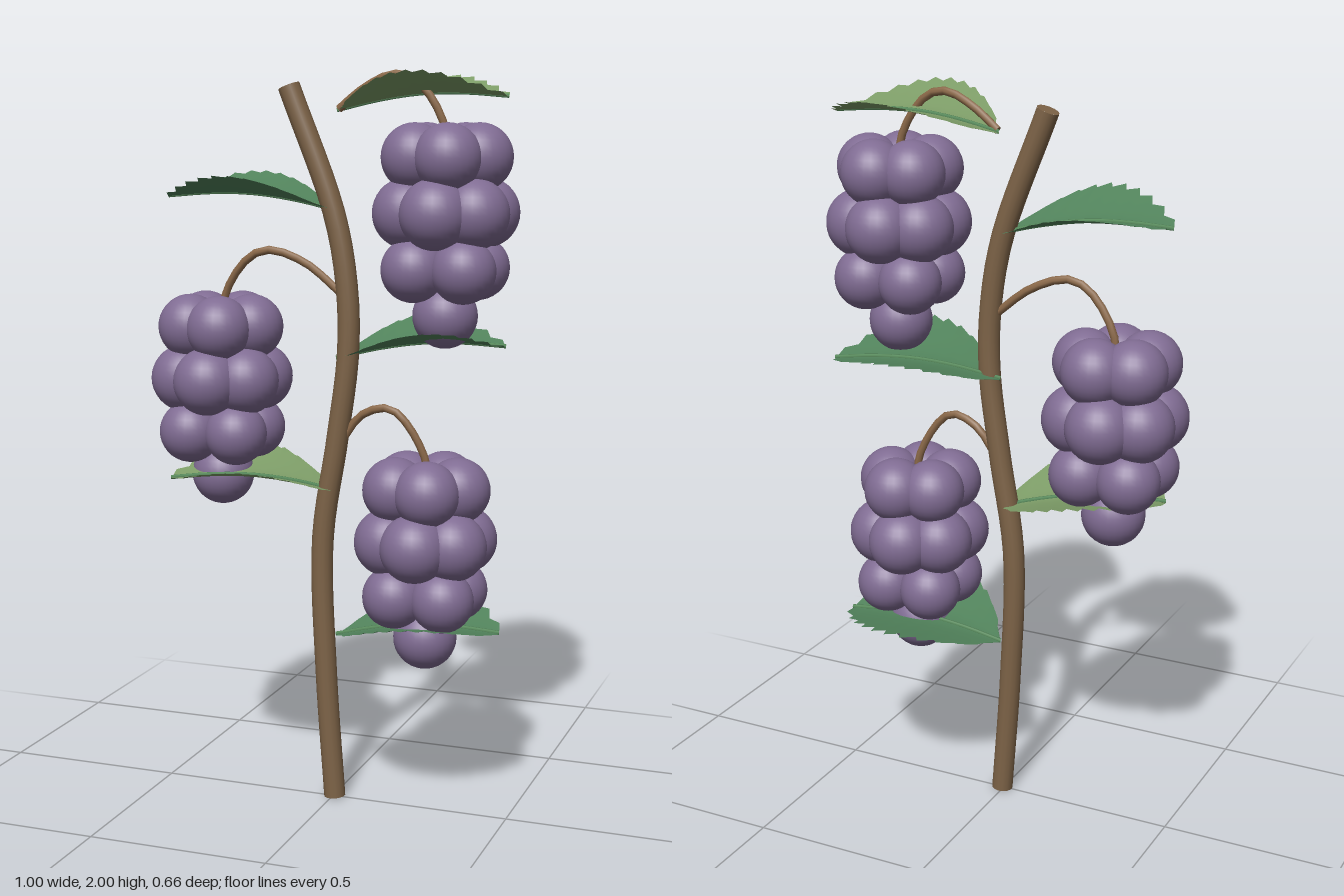
import * as THREE from 'three';

const mat = (name, color, side = THREE.FrontSide) => {
  const m = new THREE.MeshStandardMaterial({ color, side });
  m.name = name;
  return m;
};

const V = (x, y, z = 0) => new THREE.Vector3(x, y, z);

function part(name, geometry, material) {
  const m = new THREE.Mesh(geometry, material);
  m.name = name;
  return m;
}

// Tube along points, closed by flat discs at both ends
function branch(name, points, radius, segments, sides, material) {
  const g = new THREE.Group();
  g.name = name;
  const curve = new THREE.CatmullRomCurve3(points);
  g.add(part(name + 'Tube', new THREE.TubeGeometry(curve, segments, radius, sides), material));
  for (const t of [0, 1]) {
    const cap = part(name + 'Cap', new THREE.CircleGeometry(radius, sides), material);
    const dir = curve.getTangent(t).multiplyScalar(t ? 1 : -1);
    cap.position.copy(curve.getPoint(t));
    cap.quaternion.setFromUnitVectors(V(0, 0, 1), dir);
    g.add(cap);
  }
  return g;
}

// Leaf mid-line: rises from the base, arches and dips toward the tip
const LENGTH = 0.455;
const midY = t => 0.035 * t + 0.025 * Math.sin(Math.PI * t);

// Serrated blade lying along +x, its sides lifted
function bladeGeometry() {
  const rows = 22, half = 4, cols = half * 2 + 1;
  const pos = [], index = [];
  for (let i = 0; i <= rows; i++) {
    const t = i / rows;
    const tooth = i % 2 === 1;
    const w = 0.247 * Math.pow(Math.max(Math.sin(Math.PI * t), 0), 0.75) * (tooth ? 1.07 : 0.93);
    for (let j = -half; j <= half; j++) {
      const s = j / half, a = Math.abs(s);
      const ripple = (tooth ? 0.003 : -0.003) * a;
      const lift = 0.052 * Math.pow(a, 1.3) * Math.sin(Math.PI * t);
      const forward = tooth ? 0.012 * a * a * a : 0;
      pos.push(LENGTH * t + forward, midY(t) + lift + ripple, w * s);
      if (i < rows && j < half) {
        const p = i * cols + j + half;
        index.push(p, p + 1, p + cols, p + 1, p + cols + 1, p + cols);
      }
    }
  }
  const g = new THREE.BufferGeometry();
  g.setAttribute('position', new THREE.Float32BufferAttribute(pos, 3));
  g.setIndex(index);
  g.computeVertexNormals();
  return g;
}

export function createModel() {
  const stemMat = mat('stem brown', 0x7d6347);
  const stalkMat = mat('stalk brown', 0x8a6848);
  const berryMat = mat('berry purple', 0x806c93);
  const greenMat = mat('leaf green', 0x53855d, THREE.DoubleSide);
  const lightMat = mat('young leaf green', 0x7f9f69, THREE.DoubleSide);
  const ribMat = mat('rib green', 0x578a5b);

  const model = new THREE.Group();
  model.name = 'berryBranch';

  // Main stem
  model.add(branch('stem', [
    V(0.005, 0.005), V(-0.02, 0.36), V(-0.03, 0.74), V(0.012, 1.02),
    V(0.042, 1.25), V(0.04, 1.42), V(0.005, 1.62), V(-0.125, 1.96),
  ], 0.03, 40, 14, stemMat));

  // Leaves: base position, turn about y, colour
  const blade = bladeGeometry();
  const ribPoints = [0, 0.25, 0.5, 0.75, 1].map(t => V(LENGTH * t, midY(t) + 0.002));
  const ribGeo = new THREE.TubeGeometry(new THREE.CatmullRomCurve3(ribPoints), 12, 0.006, 6);
  const leaves = [
    [0.005, 0.47, 0.1, greenMat],
    [0.01, 0.875, Math.PI + 0.33, lightMat],
    [0.005, 1.24, 0.27, greenMat],
    [0.005, 1.635, Math.PI + 0.2, greenMat],
    [0.008, 1.895, 0.1, lightMat],
  ];
  for (const [x, y, turn, material] of leaves) {
    const leaf = new THREE.Group();
    leaf.name = 'leaf';
    leaf.add(part('leafBlade', blade, material), part('leafRib', ribGeo, ribMat));
    leaf.position.set(x, y, -0.01);
    leaf.rotation.y = turn;
    model.add(leaf);
  }

  // Berry clusters: rings of [count, ring radius, height, berry radius, start angle]
  const rings = [
    [5, 0.087, 0.143, 0.088, 0],
    [6, 0.103, 0, 0.092, Math.PI / 6],
    [4, 0.095, -0.145, 0.085, Math.PI / 4],
    [1, 0, -0.268, 0.086, 0],
  ];
  const sphere = new THREE.SphereGeometry(1, 28, 18);
  const clusters = [[0.265, 0.76], [-0.325, 1.175], [0.312, 1.635]];
  for (const [cx, cy] of clusters) {
    const cluster = new THREE.Group();
    cluster.name = 'berryCluster';
    for (const [count, ring, h, r, start] of rings) {
      for (let i = 0; i < count; i++) {
        const a = start + (i / count) * Math.PI * 2;
        const berry = part('berry', sphere, berryMat);
        berry.position.set(ring * Math.cos(a), h, ring * Math.sin(a));
        berry.scale.setScalar(r);
        cluster.add(berry);
      }
    }
    cluster.position.set(cx, cy, 0);
    model.add(cluster);
  }

  // Arched stalks carrying the clusters
  const stalks = [
    [V(0.02, 1.01), V(0.08, 1.09), V(0.16, 1.115, 0.01), V(0.205, 1.085, 0.01), V(0.265, 0.97), V(0.265, 0.85)],
    [V(0.03, 1.41), V(-0.08, 1.495), V(-0.18, 1.528, 0.01), V(-0.24, 1.505, 0.01), V(-0.315, 1.4), V(-0.325, 1.27)],
    [V(0.015, 1.9, -0.005), V(0.08, 1.95), V(0.17, 1.988, 0.01), V(0.235, 1.97, 0.015), V(0.305, 1.865, 0.01), V(0.312, 1.72)],
  ];
  for (const points of stalks) model.add(branch('stalk', points, 0.011, 14, 8, stalkMat));

  return model;
}
